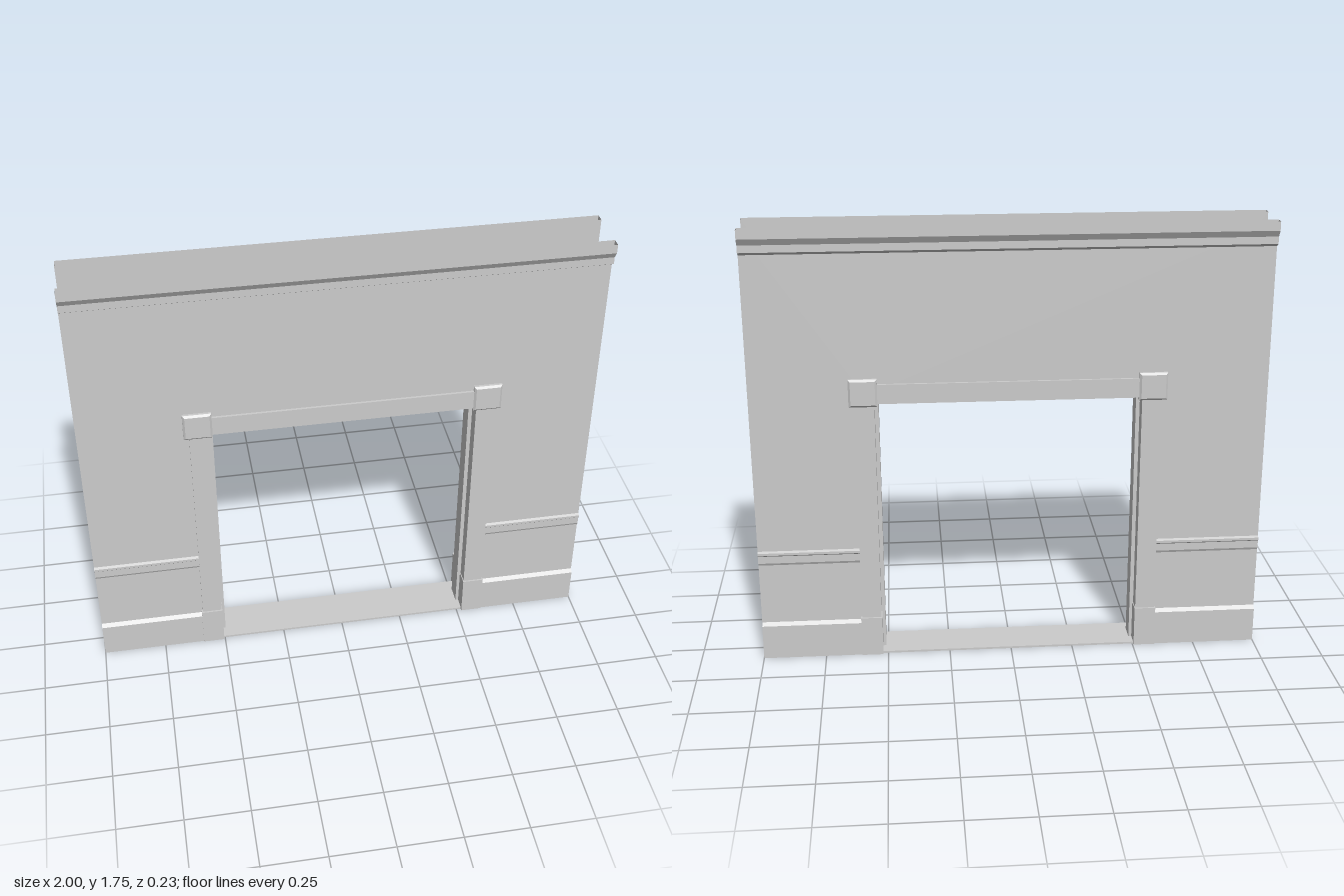
import * as THREE from 'three';

const material = new THREE.MeshStandardMaterial({ color: 0xcccccc, side: THREE.DoubleSide, flatShading: true });
const CX = 0.008;      // doorway centre
const WALL_Z = 0.078;  // wall skins stand at +z and -z of this

function add(parent, name, geometry) {
  const mesh = new THREE.Mesh(geometry, material);
  mesh.name = name;
  parent.add(mesh);
  return mesh;
}

// Box given by its extents
function box(x0, x1, y0, y1, z0, z1) {
  return new THREE.BoxGeometry(Math.abs(x1 - x0), y1 - y0, z1 - z0)
    .translate((x0 + x1) / 2, (y0 + y1) / 2, (z0 + z1) / 2);
}

// Remove the triangles lying flat at height y, leaving the solid open there
function openAt(geometry, y) {
  const flat = geometry.index ? geometry.toNonIndexed() : geometry;
  const p = flat.attributes.position;
  const kept = [];
  for (let i = 0; i < p.count; i += 3) {
    const level = [0, 1, 2].every(k => Math.abs(p.getY(i + k) - y) < 1e-4);
    if (!level) for (let k = 0; k < 3; k++) kept.push(p.getX(i + k), p.getY(i + k), p.getZ(i + k));
  }
  const out = new THREE.BufferGeometry();
  out.setAttribute('position', new THREE.Float32BufferAttribute(kept, 3));
  out.computeVertexNormals();
  return out;
}

// Run a (z, y) moulding profile along x on the front (s = 1) or back (s = -1)
function moulding(profile, s, x0, x1) {
  const shape = new THREE.Shape(profile.map(([z, y]) => new THREE.Vector2(z * s, y)));
  return new THREE.ExtrudeGeometry(shape, { depth: x1 - x0, bevelEnabled: false })
    .rotateY(-Math.PI / 2).translate(x1, 0, 0);
}

const CROWN = [[WALL_Z, 1.75], [0.113, 1.75], [0.113, 1.715], [0.097, 1.69], [0.097, 1.662], [WALL_Z, 1.65]];
const CHAIR_RAIL = [[WALL_Z, 0.405], [0.083, 0.415], [0.083, 0.445], [0.088, 0.45], [0.088, 0.46], [WALL_Z, 0.465]];
const BASEBOARD = [[WALL_Z, 0], [0.091, 0], [0.091, 0.142], [WALL_Z, 0.155]];

function wallSide(s) {
  const group = new THREE.Group();
  group.name = s > 0 ? 'frontWall' : 'backWall';
  const l = CX - 0.55, r = CX + 0.55;
  const outline = [[-1, 0], [l, 0], [l, 1.1], [r, 1.1], [r, 0], [1, 0], [1, 1.75], [-1, 1.75]];
  const skin = new THREE.ShapeGeometry(new THREE.Shape(outline.map(p => new THREE.Vector2(...p))));
  if (s < 0) skin.rotateY(Math.PI).scale(1, 1, 1).translate(2 * CX, 0, 0);
  if (s < 0) {
    // keep the outer ends square at x = -1 and 1
    const p = skin.attributes.position;
    for (let i = 0; i < p.count; i++) if (Math.abs(p.getX(i)) > 0.9) p.setX(i, Math.sign(p.getX(i)));
  }
  add(group, 'wallPanel', skin.translate(0, 0, s * WALL_Z));
  add(group, 'crownMoulding', openAt(moulding(CROWN, s, -1, 1), 1.75));
  for (const [x0, x1] of [[-1, CX - 0.592], [CX + 0.592, 1]]) {
    add(group, 'chairRail', moulding(CHAIR_RAIL, s, x0, x1));
    add(group, 'baseboard', moulding(BASEBOARD, s, x0, x1));
  }
  return group;
}

function doorFrame() {
  const group = new THREE.Group();
  group.name = 'doorFrame';
  for (const m of [-1, 1]) {
    const at = d => CX + m * d;
    // Hollow uprights and plinths, open underneath
    add(group, 'jamb', openAt(box(at(0.515), at(0.592), 0, 1.07, -0.088, 0.088), 0));
    add(group, 'plinth', openAt(box(at(0.512), at(0.597), 0, 0.165, -0.095, 0.095), 0));
    add(group, 'jambStop', box(at(0.5), at(0.516), 0, 1.065, -0.035, 0.035));

    // Corner block with chamfered faces front and back
    const h = 0.047;
    const square = new THREE.Shape([[-h, -h], [h, -h], [h, h], [-h, h]].map(p => new THREE.Vector2(...p)));
    const block = new THREE.ExtrudeGeometry(square, {
      depth: 0.176, bevelEnabled: true, bevelSegments: 1, bevelSize: 0.008, bevelThickness: 0.007,
    });
    add(group, 'cornerBlock', block.translate(at(0.558), 1.112, -0.088));
  }
  add(group, 'headCasing', box(CX - 0.515, CX + 0.515, 1.068, 1.145, -0.088, 0.088));
  add(group, 'headStop', box(CX - 0.515, CX + 0.515, 1.053, 1.07, -0.035, 0.035));
  add(group, 'threshold', box(CX - 0.513, CX + 0.513, 0, 0.008, -0.085, 0.085));
  return group;
}

export function createModel() {
  const model = new THREE.Group();
  model.name = 'doorwayWall';
  model.add(wallSide(1), wallSide(-1), doorFrame());
  return model;
}
